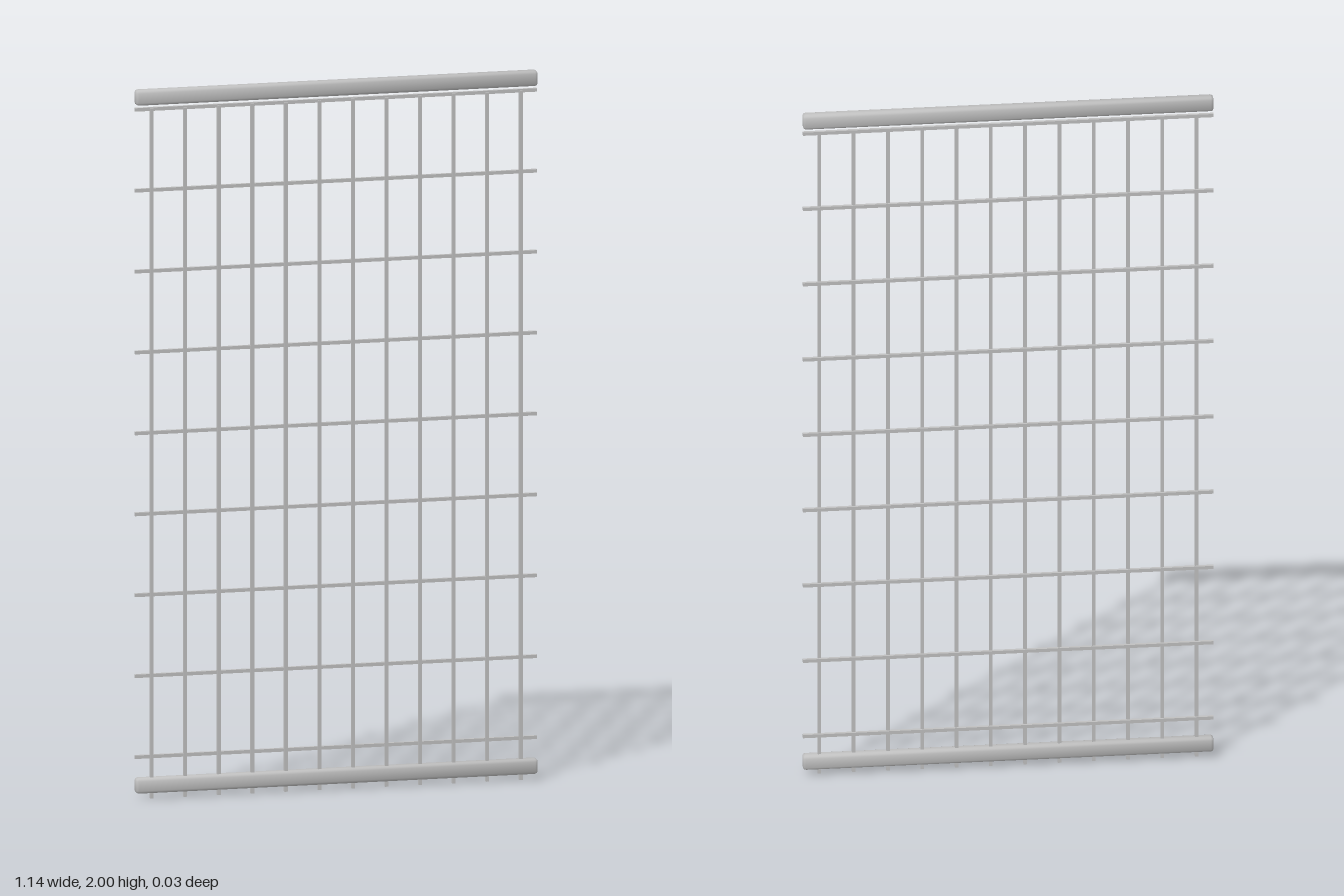
import * as THREE from 'three';
import { RoundedBoxGeometry } from 'three/addons/geometries/RoundedBoxGeometry.js';

const WIDTH = 1.14;
const WIRE = 0.0095;

// Bevelled bar with normals leaning towards the corners, for soft shading along its length
function railGeometry(w, h, d, bevel) {
  const geometry = new RoundedBoxGeometry(w, h, d, 1, bevel);
  const { position, normal } = geometry.attributes;
  const p = new THREE.Vector3();
  const n = new THREE.Vector3();
  for (let i = 0; i < position.count; i++) {
    p.fromBufferAttribute(position, i);
    p.set(Math.sign(p.x), Math.sign(p.y), Math.sign(p.z));
    n.fromBufferAttribute(normal, i).addScaledVector(p, 0.35).normalize();
    normal.setXYZ(i, n.x, n.y, n.z);
  }
  return geometry;
}

export function createModel() {
  const model = new THREE.Group();
  model.name = 'wireGridPanel';

  const steel = new THREE.MeshStandardMaterial({ color: 0xc0c0c0 });
  steel.name = 'silver steel';

  const add = (name, geometry, x, y, z) => {
    const mesh = new THREE.Mesh(geometry, steel);
    mesh.name = name;
    mesh.position.set(x, y, z);
    model.add(mesh);
  };

  // Top and bottom rails
  const rail = railGeometry(WIDTH, 0.043, 0.033, 0.008);
  add('topRail', rail, 0, 1.9785, 0);
  add('bottomRail', rail, 0, 0.0375, 0);

  // Upright square wires, passing through the bottom rail
  const upright = new THREE.BoxGeometry(WIRE, 1.945, WIRE);
  for (let i = 0; i < 12; i++) {
    add('uprightWire', upright, (i - 5.5) * 0.0952, 0.9725, 0.001);
  }

  // Cross wires, set just behind the uprights
  const cross = new THREE.BoxGeometry(WIDTH, WIRE, WIRE);
  for (let i = 0; i < 9; i++) {
    add('crossWire', cross, 0, 0.117 + i * 0.2283, -0.005);
  }

  return model;
}
